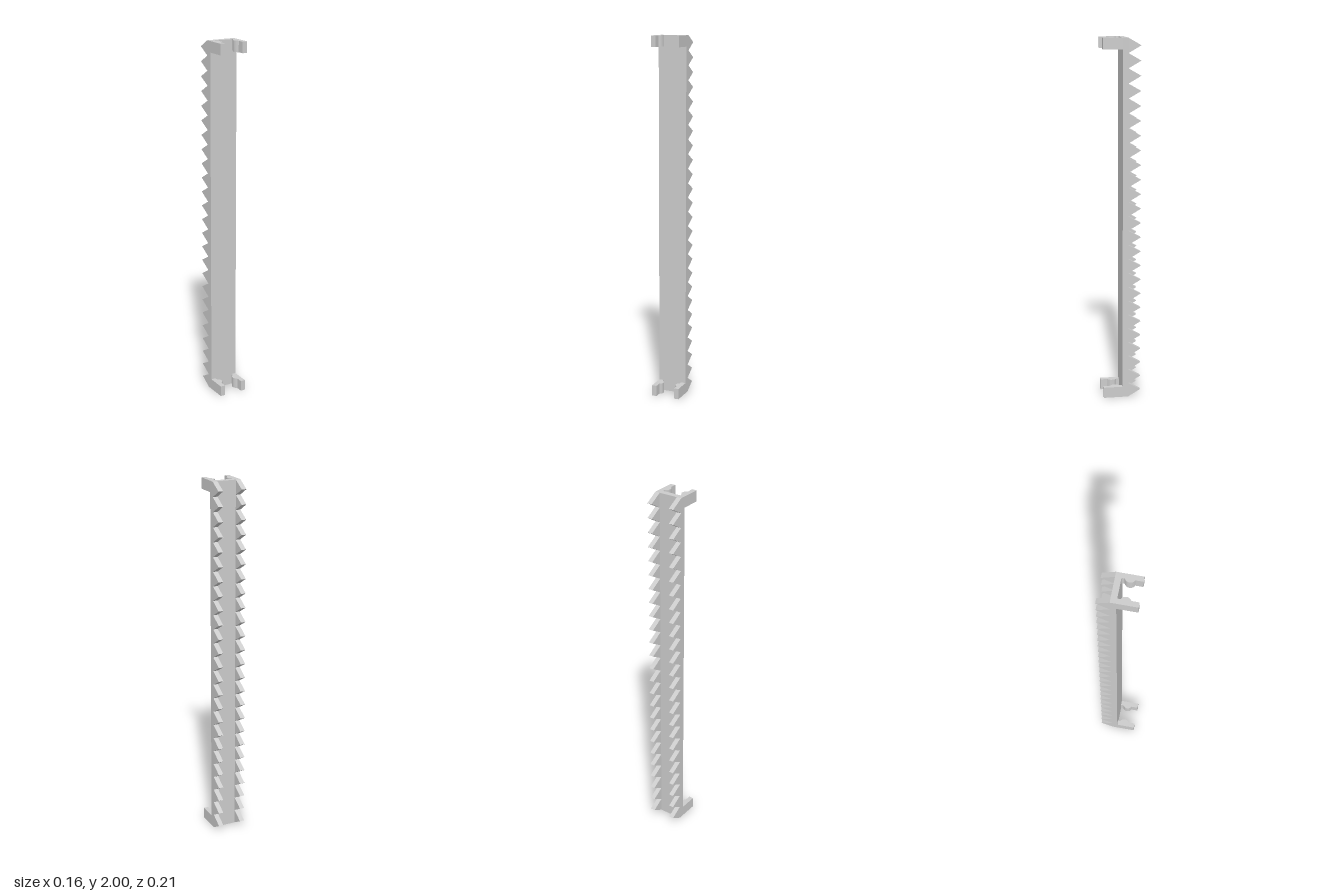
import * as THREE from 'three';
import { toCreasedNormals } from 'three/addons/utils/BufferGeometryUtils.js';

const LENGTH = 2, HALF_W = 0.08, WALL = 0.027;
const BACK = -0.034, FRONT = -0.003, TIP = 0.103;
const TEETH = 25, ARM_H = 0.06;

const material = new THREE.MeshStandardMaterial({ color: 0xcccccc });

function addMesh(parent, name, geometry, x = 0, y = 0, z = 0) {
  const mesh = new THREE.Mesh(geometry, material);
  mesh.name = name;
  mesh.position.set(x, y, z);
  parent.add(mesh);
}

// Saw-tooth strip: profile in (z, y), extruded across x
function toothGeometry() {
  const pitch = LENGTH / TEETH;
  const shape = new THREE.Shape();
  shape.moveTo(BACK, 0);
  for (let i = 0; i < TEETH; i++) {
    shape.lineTo(-TIP, (i + 0.5) * pitch);
    shape.lineTo(BACK, (i + 1) * pitch);
  }
  // a slight overlap into the plate
  shape.lineTo(BACK + 0.01, LENGTH);
  shape.lineTo(BACK + 0.01, 0);
  const geometry = new THREE.ExtrudeGeometry(shape, { depth: WALL, bevelEnabled: false });
  return geometry.rotateY(-Math.PI / 2);
}

// Clip arm with a rounded inner bump: profile in (x, -z), extruded upwards
function armGeometry(side) {
  const inner = HALF_W - WALL, bumpZ = 0.038, radius = 0.0283, centreX = 0.0653;
  const half = Math.acos((centreX - inner) / radius);
  const points = [[inner, FRONT - 0.01], [HALF_W, FRONT - 0.01], [HALF_W, TIP], [inner, TIP]];
  for (let i = 0; i <= 16; i++) {
    const a = half * (1 - i / 8);
    points.push([centreX - radius * Math.cos(a), bumpZ + radius * Math.sin(a)]);
  }
  const shape = new THREE.Shape(points.map(([x, z]) => new THREE.Vector2(side * x, -z)));
  const geometry = new THREE.ExtrudeGeometry(shape, { depth: ARM_H, bevelEnabled: false });
  return toCreasedNormals(geometry.rotateX(-Math.PI / 2), Math.PI / 6);
}

export function createModel() {
  const group = new THREE.Group();
  group.name = 'toothedRack';

  // Long flat backbone
  addMesh(group, 'plate', new THREE.BoxGeometry(2 * HALF_W, LENGTH, FRONT - BACK),
    0, LENGTH / 2, (FRONT + BACK) / 2);

  // Mirrored tooth strips and clip arms at both ends
  for (const side of [1, -1]) {
    const label = side > 0 ? 'left' : 'right';
    addMesh(group, label + 'Teeth', toothGeometry(), side > 0 ? HALF_W : WALL - HALF_W);
    addMesh(group, label + 'BottomArm', armGeometry(side));
    addMesh(group, label + 'TopArm', armGeometry(side), 0, LENGTH - ARM_H);
  }
  return group;
}
